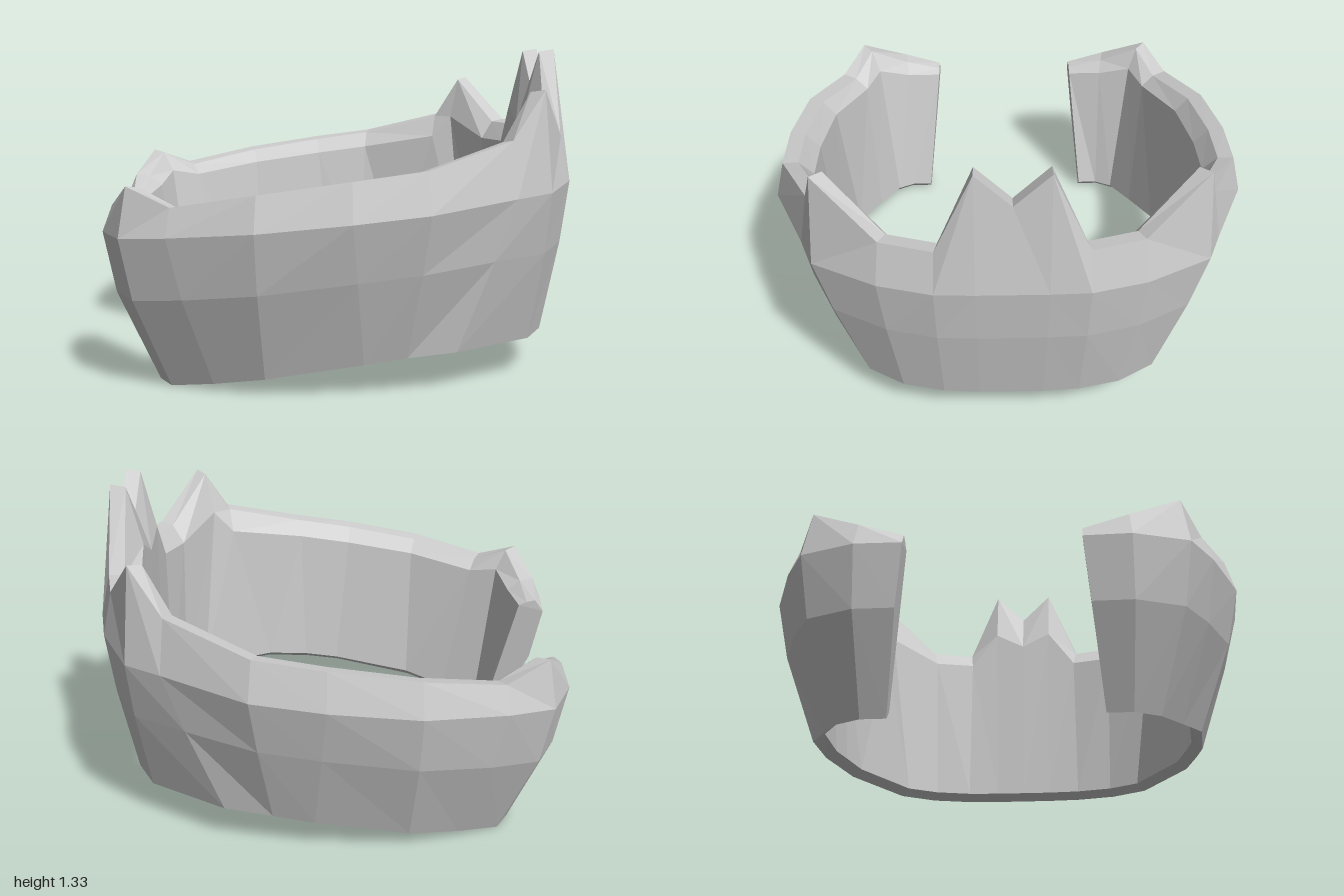
import * as THREE from 'three';

// Half of the rim and of the lower edge, from the middle of the closed side to the tip.
const RIM = [
  [.94, 1.2, 0], [.94, 1.34, .14], [.935, .99, .29], [.875, .99, .5], [.735, 1.19, .75],
  [.6, 1, .8], [.25, .905, .95], [-.03, .87, .96], [-.38, .82, .925], [-.7, .76, .8],
  [-.87, .83, .71], [-.945, .73, .51], [-.94, .68, .335],
];
const LOWER = [
  [.87, .17, 0], [.87, .17, .13], [.86, .17, .28], [.82, .17, .45], [.73, .17, .6],
  [.4, .17, .78], [.2, .16, .81], [.03, .14, .82], [-.35, .08, .78], [-.55, .04, .69],
  [-.72, .01, .6], [-.77, .01, .5], [-.77, .01, .4],
];

// Full curve: the half mirrored across z = 0
function mirrorCurve(half) {
  const points = half.map(p => new THREE.Vector3(...p));
  const other = points.slice(1).reverse().map(p => new THREE.Vector3(p.x, p.y, -p.z));
  return [...other, ...points];
}

// Horizontal outward direction at point i of a curve
function outward(curve, i) {
  const a = curve[Math.max(i - 1, 0)], b = curve[Math.min(i + 1, curve.length - 1)];
  return new THREE.Vector3(b.z - a.z, 0, a.x - b.x).normalize();
}

// Cross-sections: lower outer, bulge, widest line, rim outer, rim inner, bevel, lower inner
function bandSections() {
  const rim = mirrorCurve(RIM), lower = mirrorCurve(LOWER);
  return rim.map((top, i) => {
    const bottom = lower[i];
    const topOut = outward(rim, i), bottomOut = outward(lower, i);
    const shift = (p, dir, distance, y) => p.clone().addScaledVector(dir, distance).setY(y);

    // The rim gets thinner at the tips, and the outside rounder towards them
    const thickness = i === 0 || i === rim.length - 1 ? .6 : 1;
    const openness = Math.max(0, -bottom.x);
    const wideY = .72 + .1 * top.x;

    const widest = shift(top, topOut, .04, wideY);
    const bulge = bottom.clone().lerp(widest, .6).addScaledVector(topOut, .01 + .035 * openness);
    const rimInner = shift(top, topOut, -.065 * thickness, top.y - .01);
    const bevel = shift(top, topOut, -.125 * thickness, (top.y + wideY) / 2);
    const lowerInner = shift(bottom, bottomOut, -.045, bottom.y + .03 + .015 * openness);
    return [bottom, bulge, widest, top, rimInner, bevel, lowerInner];
  });
}

function bandGeometry() {
  const sections = bandSections();
  const n = sections[0].length;
  const middle = (sections.length - 1) / 2;
  const index = [];

  // Skin around the section, with diagonals mirrored across the middle
  for (let i = 0; i < sections.length - 1; i++) {
    for (let j = 0; j < n; j++) {
      const a = i * n + j, b = i * n + (j + 1) % n;
      const c = a + n, d = b + n;
      if (i < middle) index.push(a, b, d, a, d, c);
      else index.push(a, b, c, b, d, c);
    }
  }

  // Caps on the two open tips
  const last = (sections.length - 1) * n;
  for (const [p, q, r] of [[0, 1, 6], [1, 5, 6], [1, 2, 5], [2, 4, 5], [2, 3, 4]]) {
    index.push(last + p, last + q, last + r, r, q, p);
  }

  const geometry = new THREE.BufferGeometry().setFromPoints(sections.flat());
  geometry.setIndex(index);
  const faceted = geometry.toNonIndexed();
  faceted.computeVertexNormals();
  return faceted;
}

export function createModel() {
  const group = new THREE.Group();
  group.name = 'openCrownBand';
  const material = new THREE.MeshStandardMaterial({ color: 0xcccccc, flatShading: true });
  const band = new THREE.Mesh(bandGeometry(), material);
  band.name = 'band';
  group.add(band);
  return group;
}
